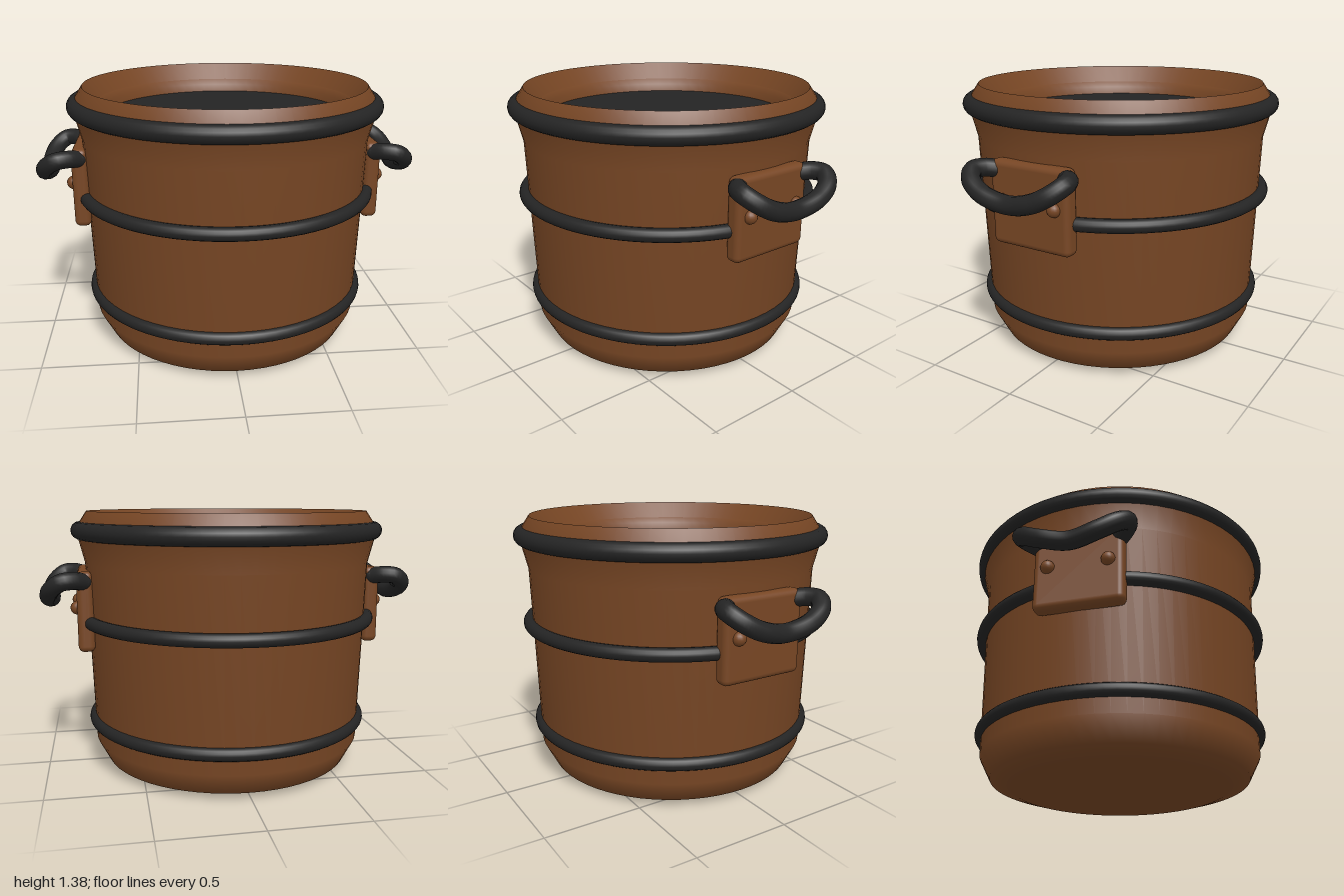
import * as THREE from 'three';
import { RoundedBoxGeometry } from 'three/addons/geometries/RoundedBoxGeometry.js';

export function createModel() {
  const wood = new THREE.MeshStandardMaterial({ name: 'brown wood', color: 0x774624 });
  const iron = new THREE.MeshStandardMaterial({ name: 'dark iron', color: 0x242424 });
  const model = new THREE.Group();
  model.name = 'bucket';

  const add = (parent, name, geometry, material, x = 0, y = 0, z = 0) => {
    const mesh = new THREE.Mesh(geometry, material);
    mesh.name = name;
    mesh.position.set(x, y, z);
    parent.add(mesh);
    return mesh;
  };
  const lathe = (points) =>
    new THREE.LatheGeometry(points.map(([r, y]) => new THREE.Vector2(r, y)), 64);

  // Staved body, with separate lathes where the rim has hard edges
  add(model, 'body', lathe([
    [0, 0], [0.57, 0.003], [0.675, 0.035], [0.735, 0.15],
    [0.765, 1.11], [0.8, 1.25],
  ]), wood);
  add(model, 'rimBevel', lathe([[0.8, 1.25], [0.79, 1.32], [0.75, 1.38]]), wood);
  add(model, 'innerLip', lathe([[0.75, 1.38], [0.68, 1.29]]), wood);
  add(model, 'innerWall', lathe([[0.68, 1.29], [0.65, 1.26], [0.64, 1.2]]), wood);

  // Dark surface closing the opening
  add(model, 'contents', new THREE.CircleGeometry(0.645, 64), iron, 0, 1.22, 0)
    .rotation.x = -Math.PI / 2;

  // Iron hoops: height, ring radius, tube radius
  const hoops = [['topHoop', 1.28, 0.789, 0.045], ['middleHoop', 0.815, 0.771, 0.034],
    ['bottomHoop', 0.26, 0.736, 0.034]];
  for (const [name, y, radius, tube] of hoops) {
    add(model, name, new THREE.TorusGeometry(radius, tube, 16, 80), iron, 0, y, 0)
      .rotation.x = Math.PI / 2;
  }

  // Drooping handle path, mirrored front to back
  const half = [[0.775, 1.03, 0.2], [0.825, 1.04, 0.245], [0.88, 1.035, 0.262],
    [0.93, 1.0, 0.225], [0.953, 0.955, 0.14]];
  const path = [
    ...half, [0.945, 0.925, 0],
    ...half.slice().reverse().map(([x, y, z]) => [x, y, -z]),
  ].map((p) => new THREE.Vector3(...p));
  const curve = new THREE.CatmullRomCurve3(path);

  // Plate, rivets and handle on each side
  for (const side of ['left', 'right']) {
    const mount = new THREE.Group();
    mount.name = side + 'Handle';
    add(mount, 'plate', new RoundedBoxGeometry(0.085, 0.415, 0.45, 4, 0.03), wood, 0.768, 0.873, 0);
    add(mount, 'grip', new THREE.TubeGeometry(curve, 64, 0.045, 14), iron);
    for (const z of [-1, 1]) {
      add(mount, 'rivet', new THREE.SphereGeometry(0.035, 16, 12), wood, 0.81, 0.89, z * 0.15);
      add(mount, 'gripEnd', new THREE.SphereGeometry(0.045, 14, 10), iron, 0.775, 1.03, z * 0.2);
    }
    if (side === 'right') mount.rotation.y = Math.PI;
    model.add(mount);
  }
  return model;
}
